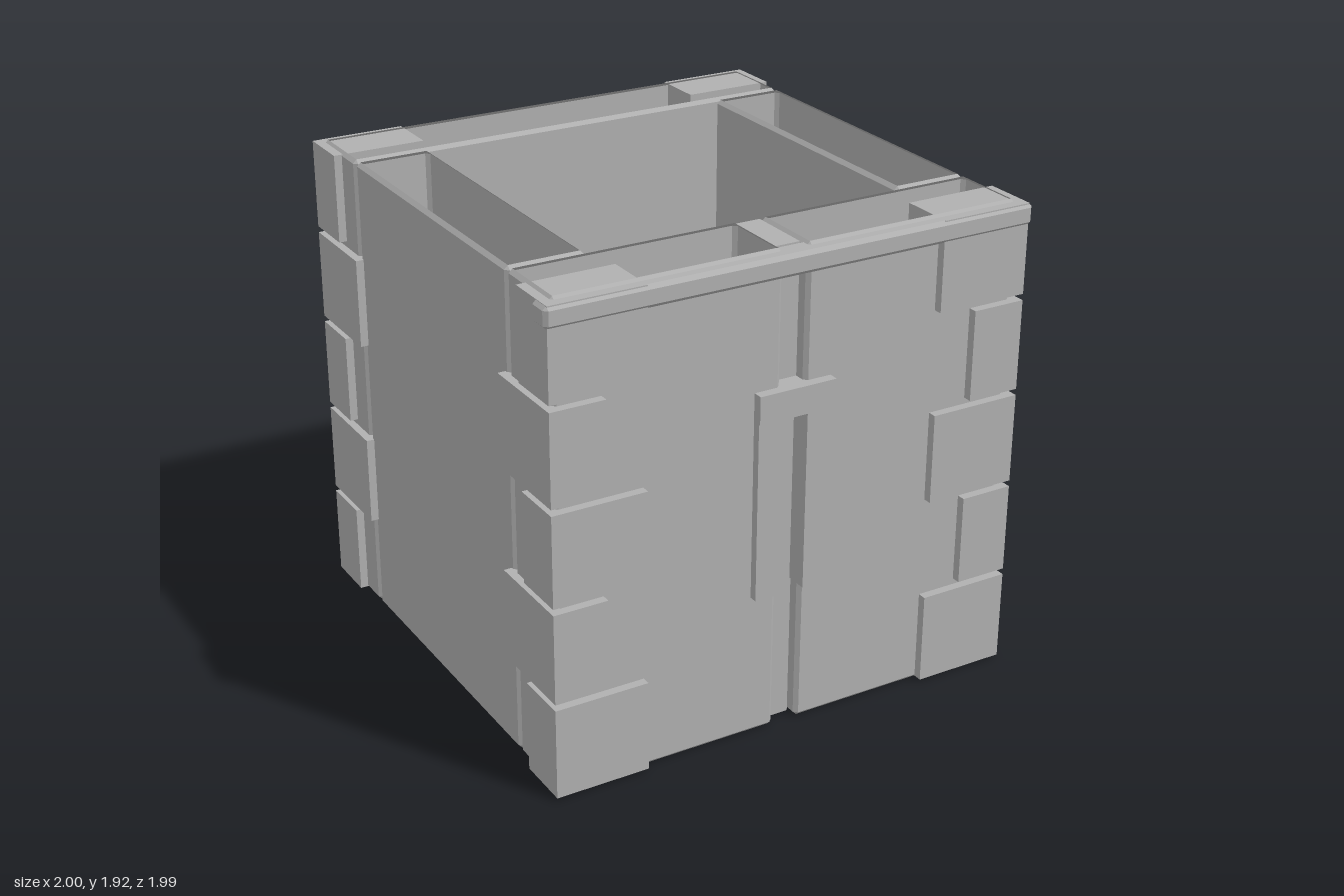
import * as THREE from 'three';

const stone = new THREE.MeshStandardMaterial({ color: 0xb0b0b0, side: THREE.DoubleSide });
stone.name = 'grey stone';

// Box given by its ranges, with chamfered edges; top and bottom are left open unless capped.
function chamferedBox([x0, x1], [y0, y1], [z0, z1], c, capped) {
  // Ring of 8 corners, counter-clockwise from above; end rings pull in to a rectangle.
  const ring = (y, end) => {
    const e = end ? c : 0;
    return [
      [x0 + c, y, z1 - e], [x1 - c, y, z1 - e],
      [x1 - e, y, z1 - c], [x1 - e, y, z0 + c],
      [x1 - c, y, z0 + e], [x0 + c, y, z0 + e],
      [x0 + e, y, z0 + c], [x0 + e, y, z1 - c],
    ];
  };
  const rings = [ring(y0, true), ring(y0 + c, false), ring(y1 - c, false), ring(y1, true)];
  const pos = [];
  const same = (p, q) => p.every((v, i) => Math.abs(v - q[i]) < 1e-6);
  const tri = (a, b, d) => {
    if (!same(a, b) && !same(b, d) && !same(a, d)) pos.push(...a, ...b, ...d);
  };
  for (let r = 0; r < 3; r++) {
    for (let i = 0; i < 8; i++) {
      const j = (i + 1) % 8;
      tri(rings[r][i], rings[r][j], rings[r + 1][j]);
      tri(rings[r][i], rings[r + 1][j], rings[r + 1][i]);
    }
  }
  if (capped) {
    const [b, t] = [rings[0], rings[3]];
    tri(t[0], t[2], t[4]);
    tri(t[0], t[4], t[6]);
    tri(b[0], b[4], b[2]);
    tri(b[0], b[6], b[4]);
  }
  const g = new THREE.BufferGeometry();
  g.setAttribute('position', new THREE.Float32BufferAttribute(pos, 3));
  g.computeVertexNormals();
  return g;
}

// Plain box given by its ranges.
function plainBox([x0, x1], [y0, y1], [z0, z1]) {
  return new THREE.BoxGeometry(x1 - x0, y1 - y0, z1 - z0)
    .translate((x0 + x1) / 2, (y0 + y1) / 2, (z0 + z1) / 2);
}

export function createModel() {
  const model = new THREE.Group();
  model.name = 'wallBlock';
  const add = (name, geometry, parent = model) => {
    const mesh = new THREE.Mesh(geometry, stone);
    mesh.name = name;
    parent.add(mesh);
  };
  // Range on one side of the centre line
  const sided = (s, a, b) => (s > 0 ? [a, b] : [-b, -a]);

  // Hollow wall sections, open above and below
  const height = [0, 1.92];
  const bevel = 0.015;
  add('backWall', chamferedBox([-0.955, 0.955], height, [-0.965, -0.655], bevel));
  for (const s of [1, -1]) {
    const side = s > 0 ? 'left' : 'right';
    add(side + 'Wall', chamferedBox(sided(s, 0.65, 0.955), height, [-0.645, 0.63], bevel));
    add(side + 'FrontWall', chamferedBox(sided(s, 0.05, 0.955), height, [0.635, 0.95], bevel));
  }

  // Post filling the gap between the front walls
  add('centrePost', plainBox([-0.05, 0.05], [0, 1.91], [0.635, 0.895]));

  // Interlocking corner stones, long side alternating
  const rows = [[0.01, 0.375], [0.4, 0.76], [0.785, 1.145], [1.17, 1.53], [1.555, 1.91]];
  for (const sx of [1, -1]) {
    for (const sz of [1, -1]) {
      const corner = new THREE.Group();
      corner.name = (sz > 0 ? 'front' : 'back') + (sx > 0 ? 'Left' : 'Right') + 'CornerStones';
      const outer = sz > 0 ? 0.985 : 0.995;
      const shift = sz > 0 ? 0 : 0.015;
      rows.forEach((y, i) => {
        const even = i % 2 === 0;
        const x = sided(sx, even ? 0.61 : 0.77, 0.987);
        const z = sided(sz, (even ? 0.765 : 0.605) + shift, outer);
        add('cornerStone', plainBox(x, y, z), corner);
      });
      model.add(corner);
    }
  }

  // Ledge along the top of the front
  add('frontLedge', chamferedBox([-1, 1], [1.825, 1.91], [0.895, 0.995], bevel, true));

  // Narrow window frame: a lintel on two jambs
  const frame = new THREE.Group();
  frame.name = 'windowFrame';
  add('windowLintel', plainBox([-0.16, 0.16], [1.29, 1.4], [0.88, 0.99]), frame);
  for (const s of [1, -1]) {
    add('windowJamb', plainBox(sided(s, 0.045, 0.16), [0.58, 1.29], [0.88, 0.983]), frame);
  }
  model.add(frame);

  return model;
}
